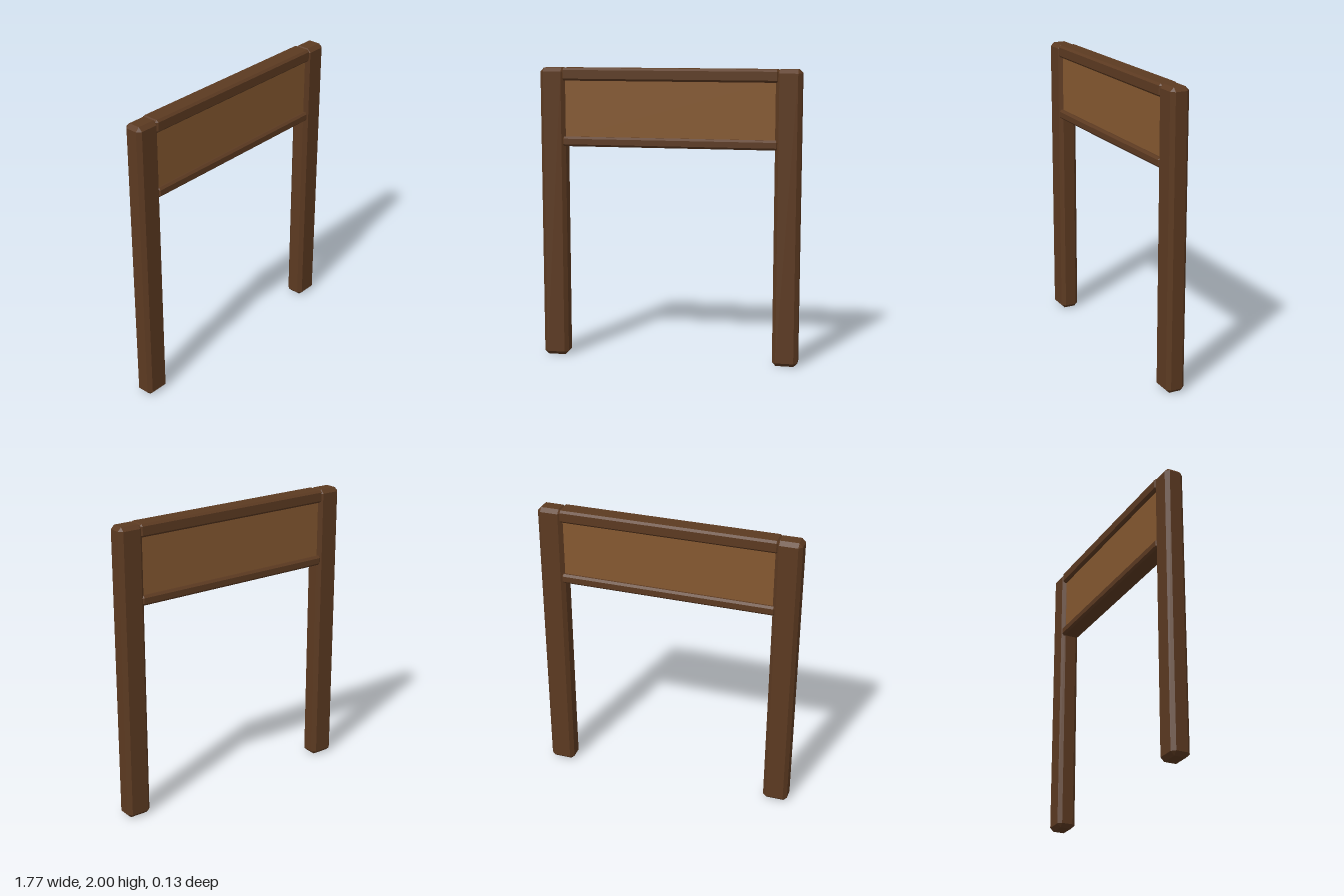
import * as THREE from 'three';
import { ConvexGeometry } from 'three/addons/geometries/ConvexGeometry.js';

// Box with every edge and corner cut by a flat chamfer c
function chamferedBox(w, h, d, c) {
  const points = [];
  for (const sx of [-1, 1]) for (const sy of [-1, 1]) for (const sz of [-1, 1]) {
    const x = w / 2, y = h / 2, z = d / 2;
    points.push(
      new THREE.Vector3(sx * x, sy * (y - c), sz * (z - c)),
      new THREE.Vector3(sx * (x - c), sy * y, sz * (z - c)),
      new THREE.Vector3(sx * (x - c), sy * (y - c), sz * z));
  }
  return new ConvexGeometry(points);
}

export function createModel() {
  const model = new THREE.Group();
  model.name = 'signFrame';
  const darkWood = new THREE.MeshStandardMaterial({ color: 0x5c3a21 });
  darkWood.name = 'dark wood';
  const lightWood = new THREE.MeshStandardMaterial({ color: 0x855830 });
  lightWood.name = 'light wood';

  const add = (name, geometry, material, x, y) => {
    const mesh = new THREE.Mesh(geometry, material);
    mesh.name = name;
    mesh.position.set(x, y, 0);
    model.add(mesh);
  };

  // Upright posts
  const post = chamferedBox(0.172, 2, 0.13, 0.025);
  add('leftPost', post, darkWood, 0.8, 1);
  add('rightPost', post, darkWood, -0.8, 1);

  // Rails let into the chamfers of the posts
  add('topRail', chamferedBox(1.472, 0.086, 0.13, 0.014), darkWood, 0, 1.957);
  add('bottomRail', chamferedBox(1.472, 0.066, 0.13, 0.014), darkWood, 0, 1.503);

  // Board held between the rails
  add('boardPanel', new THREE.BoxGeometry(1.45, 0.41, 0.08), lightWood, 0, 1.725);

  return model;
}
